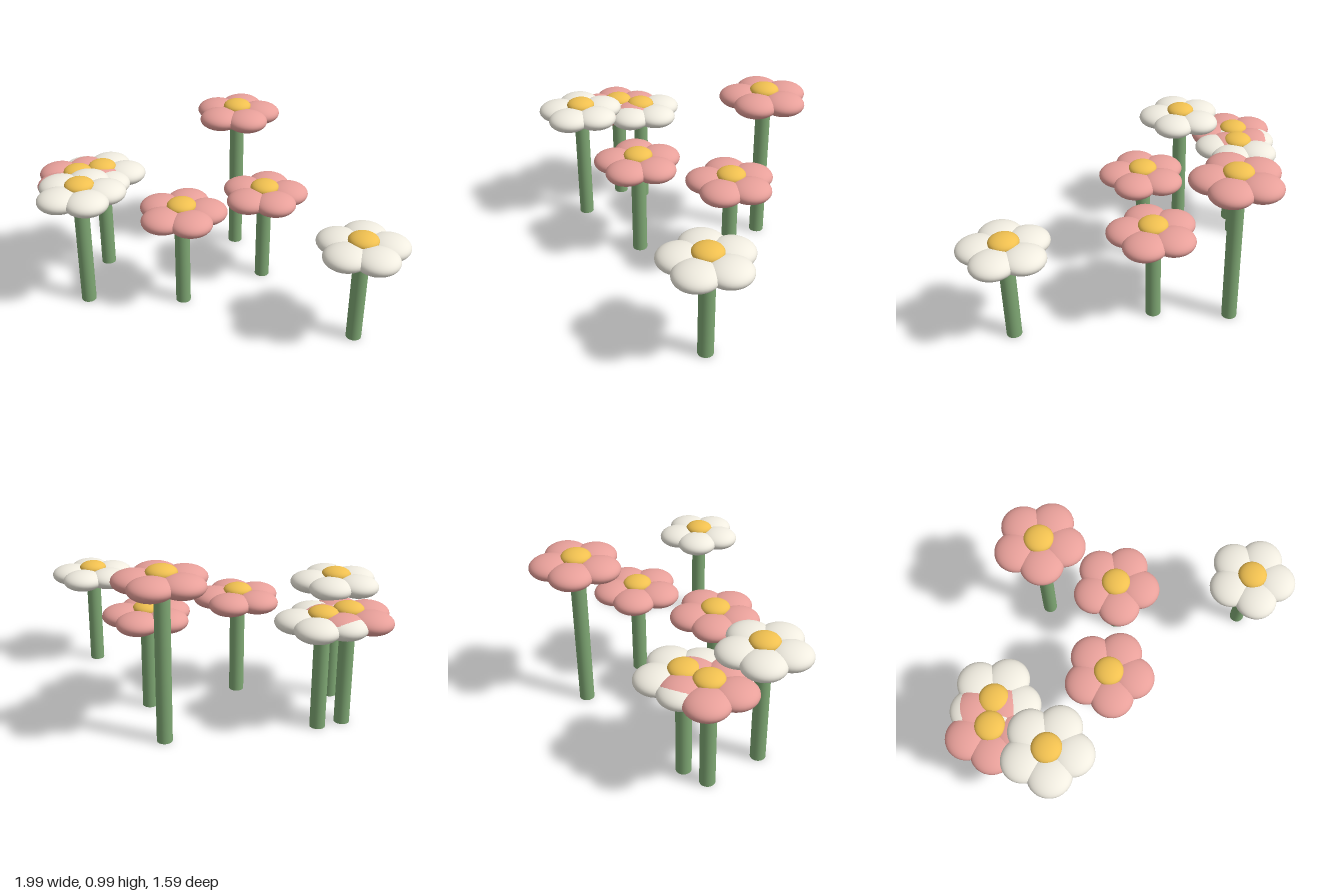
import * as THREE from 'three';

const PINK = 0xe8a09a, WHITE = 0xf0ece0, YELLOW = 0xf0c050, GREEN = 0x7fa874;

// x, z, height of the petal ring, petal colour
const FLOWERS = [
  [0.205, -0.55, 0.899, PINK],
  [0.322, -0.132, 0.555, PINK],
  [-0.18, 0.1, 0.585, PINK],
  [0.737, 0.54, 0.574, WHITE],
  [-0.737, 0.04, 0.707, WHITE],
  [-0.768, -0.3, 0.623, PINK],
  [-0.627, -0.362, 0.618, WHITE],
];

const PETALS = 5, PETAL_RING = 0.135, STEM_RADIUS = 0.043;

export function createModel() {
  const group = new THREE.Group();
  group.name = 'flowers';

  const materials = {};
  for (const color of [PINK, WHITE, YELLOW, GREEN]) {
    materials[color] = new THREE.MeshStandardMaterial({ color });
  }

  // flattened spheres shared by all flowers
  const petalGeometry = new THREE.SphereGeometry(0.122, 32, 20).scale(1, 0.49, 1);
  const centreGeometry = new THREE.SphereGeometry(0.083, 32, 20).scale(1, 0.5, 1);

  const add = (parent, name, geometry, color, x, y, z) => {
    const mesh = new THREE.Mesh(geometry, materials[color]);
    mesh.name = name;
    mesh.position.set(x, y, z);
    parent.add(mesh);
  };

  for (const [x, z, height, color] of FLOWERS) {
    const flower = new THREE.Group();
    flower.name = 'flower';
    flower.position.set(x, 0, z);

    // stem from the ground into the petal ring
    const stem = new THREE.CylinderGeometry(STEM_RADIUS, STEM_RADIUS, height, 24);
    add(flower, 'stem', stem, GREEN, 0, height / 2, 0);

    // five round petals, the first towards +x
    for (let i = 0; i < PETALS; i++) {
      const a = (i / PETALS) * Math.PI * 2;
      add(flower, 'petal', petalGeometry, color, PETAL_RING * Math.cos(a), height, PETAL_RING * Math.sin(a));
    }

    // domed flower centre
    add(flower, 'flowerCentre', centreGeometry, YELLOW, 0, height + 0.046, 0);
    group.add(flower);
  }
  return group;
}
